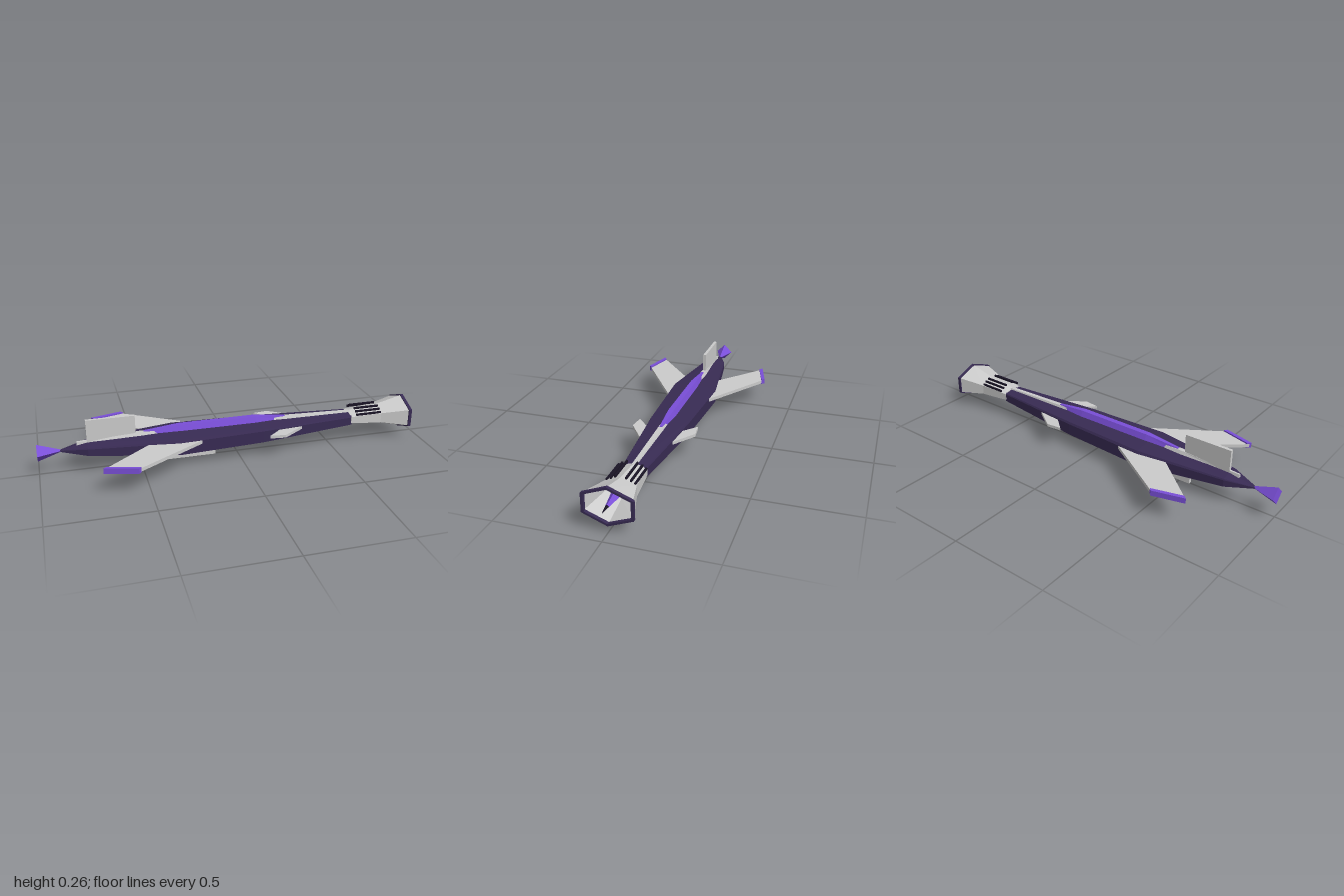
import * as THREE from 'three';

const mat = (color) => new THREE.MeshStandardMaterial({ color, flatShading: true, side: THREE.DoubleSide });

// Skin a row of cross-sections along x. Section: { x, ring: [[y, z], ...] }, rings turning from +y to +z.
function loft(sections, caps = true) {
  const pos = [];
  const n = sections[0].ring.length;
  const last = sections.length - 1;
  const P = (s, i) => [sections[s].x, ...sections[s].ring[i % n]];
  for (let s = 0; s < last; s++) {
    for (let i = 0; i < n; i++) {
      const a = P(s, i), b = P(s, i + 1), c = P(s + 1, i + 1), d = P(s + 1, i);
      pos.push(...a, ...b, ...c, ...a, ...c, ...d);
    }
  }
  if (caps) {
    for (let i = 1; i < n - 1; i++) {
      pos.push(...P(0, 0), ...P(0, i + 1), ...P(0, i));
      pos.push(...P(last, 0), ...P(last, i), ...P(last, i + 1));
    }
  }
  const g = new THREE.BufferGeometry();
  g.setAttribute('position', new THREE.Float32BufferAttribute(pos, 3));
  g.computeVertexNormals();
  return g;
}

// Hexagon with points up and down: half height h, half width w
const hex = (x, h, w, y = 0.125) => ({
  x,
  ring: [[y + h, 0], [y + h / 2, w], [y - h / 2, w], [y - h, 0], [y - h / 2, -w], [y + h / 2, -w]],
});

// Diamond: half height and half width r
const diamond = (x, r, y) => ({ x, ring: [[y + r, 0], [y, r], [y - r, 0], [y, -r]] });

// Boxy hull section with a slightly crowned top
const hullSection = ([x, w, bottom, shoulder, top]) => ({
  x,
  ring: [[top, 0], [shoulder, w * 0.94], [shoulder - 0.012 * (w / 0.12), w], [bottom, w],
    [bottom, -w], [shoulder - 0.012 * (w / 0.12), -w], [shoulder, -w * 0.94]],
});

// Spine strip: flat base, chamfered top
const strip = ([x, w, bottom, top]) => ({
  x,
  ring: [[top, w * 0.5], [bottom, w], [bottom, -w], [top, -w * 0.5]],
});

// Flat plate from an outline in x and z, between two heights
function plate(points, y0, y1, side) {
  const shape = new THREE.Shape(points.map(([x, z]) => new THREE.Vector2(x, z * side)));
  const g = new THREE.ExtrudeGeometry(shape, { depth: y1 - y0, bevelEnabled: false });
  return g.rotateX(Math.PI / 2).translate(0, y1, 0);
}

export function createModel() {
  const model = new THREE.Group();
  model.name = 'spacecraft';
  const grey = mat(0xcccccc), dark = mat(0x382b53), purple = mat(0x7a4fd8), black = mat(0x1a1426);
  const add = (name, geometry, material) => {
    const mesh = new THREE.Mesh(geometry, material);
    mesh.name = name;
    model.add(mesh);
    return mesh;
  };
  const box = (name, x0, x1, y0, y1, depth, material, z = 0) => {
    const mesh = add(name, new THREE.BoxGeometry(x1 - x0, y1 - y0, depth), material);
    mesh.position.set((x0 + x1) / 2, (y0 + y1) / 2, z);
    return mesh;
  };

  // Hull: x, half width, bottom, shoulder, top
  add('hull', loft([
    [-0.9, 0.003, 0.111, 0.115, 0.117],
    [-0.76, 0.058, 0.095, 0.135, 0.146],
    [-0.32, 0.12, 0.071, 0.148, 0.16],
    [0.12, 0.1, 0.077, 0.148, 0.16],
    [0.62, 0.056, 0.098, 0.144, 0.154],
  ].map(hullSection)), dark);

  // Pale and purple spines on the back
  add('spine', loft([
    [-0.81, 0.008, 0.125, 0.152],
    [-0.5, 0.022, 0.14, 0.168],
    [0.26, 0.022, 0.14, 0.168],
    [0.63, 0.018, 0.135, 0.158],
  ].map(strip)), grey);
  add('canopy', loft([
    [-0.48, 0.012, 0.15, 0.171],
    [-0.3, 0.027, 0.15, 0.187],
    [0.1, 0.027, 0.15, 0.187],
    [0.26, 0.012, 0.15, 0.171],
  ].map(strip)), purple);

  // Tail diamond
  add('tailCone', loft([diamond(-1, 0.045, 0.114), diamond(-0.875, 0.002, 0.114)]), purple);

  // Flared hexagonal nozzle, open at the end
  add('nozzle', loft([hex(0.62, 0.034, 0.06), hex(0.66, 0.042, 0.063),
    hex(0.78, 0.052, 0.072), hex(0.925, 0.088, 0.111)], false), grey);
  add('nozzleBulkhead', loft([hex(0.615, 0.033, 0.059), hex(0.625, 0.033, 0.059)]), grey);
  add('nozzleRim', loft([hex(0.92, 0.08, 0.103), hex(0.92, 0.092, 0.116), hex(0.936, 0.092, 0.116),
    hex(0.936, 0.081, 0.104), hex(0.92, 0.08, 0.103)], false), dark);

  // Core spike inside the nozzle
  add('coreBase', loft([hex(0.62, 0.034, 0.04), hex(0.72, 0.034, 0.04)]), dark);
  add('core', loft([diamond(0.72, 0.042, 0.125), diamond(0.93, 0.009, 0.125)]), purple);
  add('coreTip', loft([diamond(0.93, 0.009, 0.125), diamond(0.985, 0.0005, 0.125)]), black);

  // Upper and lower fins
  box('upperFin', -0.76, -0.52, 0.13, 0.26, 0.016, grey);
  box('lowerFin', -0.555, -0.115, 0, 0.09, 0.016, grey);

  for (const side of [1, -1]) {
    const label = side > 0 ? 'Front' : 'Back';

    // Swept wing with a coloured tip, and a small forward fin
    add('wing' + label, plate([[-0.16, 0.085], [-0.55, 0.335], [-0.705, 0.295], [-0.44, 0.07]], 0.118, 0.135, side), grey);
    add('wingTip' + label, plate([[-0.542, 0.33], [-0.555, 0.345], [-0.712, 0.302], [-0.695, 0.287]], 0.115, 0.142, side), purple);
    add('smallFin' + label, plate([[0.36, 0.06], [0.215, 0.161], [0.135, 0.152], [0.24, 0.06]], 0.119, 0.134, side), grey);

    // Vent bars along the nozzle shoulders
    [[0.155, 0.064], [0.167, 0.046], [0.177, 0.025]].forEach(([y, z], i) => {
      box('vent' + label + (i + 1), 0.64, 0.78, y - 0.005, y + 0.005, 0.008, black, z * side);
    });
  }
  return model;
}
